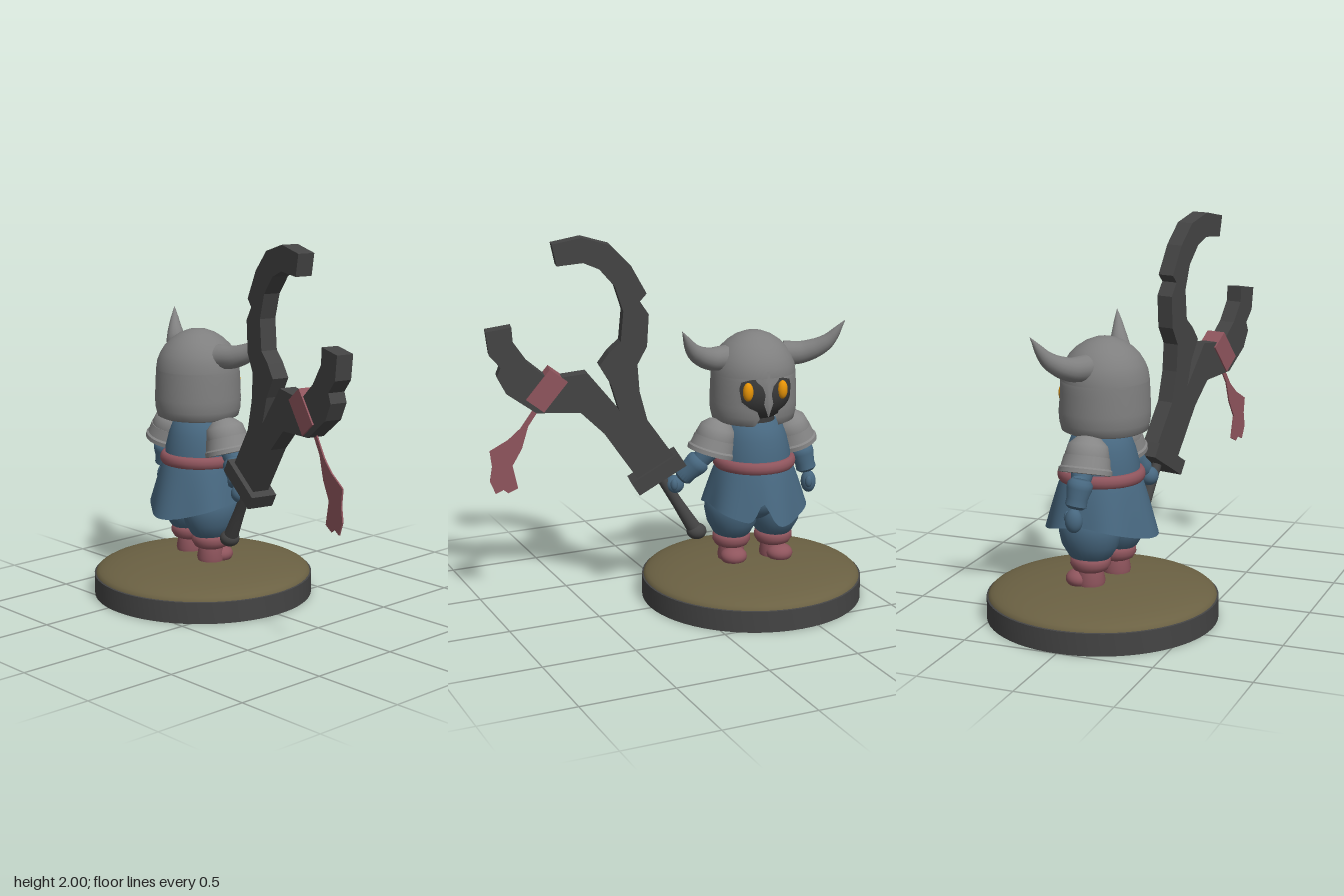
import * as THREE from 'three';
import { mergeVertices, toCreasedNormals } from 'three/addons/utils/BufferGeometryUtils.js';

const paint = (name, color) => {
  const m = new THREE.MeshStandardMaterial({ color, side: THREE.DoubleSide });
  m.name = name;
  return m;
};
const V = (p) => new THREE.Vector3(...p);

export function createModel() {
  const steel = paint('steel', 0x7f7f7f);
  const plate = paint('armour plate', 0x868686);
  const iron = paint('dark iron', 0x444444);
  const shade = paint('face shadow', 0x383838);
  const blue = paint('blue cloth', 0x47677f);
  const rose = paint('rose cloth', 0x8f555d);
  const olive = paint('olive ground', 0x6b6143);
  const amber = paint('amber', 0xf09a08);

  const add = (parent, name, geo, mat, pos = [0, 0, 0], scale = [1, 1, 1]) => {
    const m = new THREE.Mesh(geo, mat);
    m.name = name;
    m.position.set(...pos);
    m.scale.set(...scale);
    parent.add(m);
    return m;
  };
  const group = (parent, name) => {
    const g = new THREE.Group();
    g.name = name;
    parent.add(g);
    return g;
  };
  const lathe = (pts, seg = 32, crease = 0.9) =>
    toCreasedNormals(new THREE.LatheGeometry(pts.map((p) => new THREE.Vector2(...p)), seg), crease);
  const ball = new THREE.SphereGeometry(1, 24, 16);

  // Smooth grid surface from fn(column, row) -> [x, y, z]
  const surface = (nu, nv, fn) => {
    const pos = [], idx = [];
    for (let j = 0; j <= nv; j++) for (let i = 0; i <= nu; i++) pos.push(...fn(i / nu, j / nv, j));
    for (let j = 0; j < nv; j++) for (let i = 0; i < nu; i++) {
      const a = j * (nu + 1) + i, b = a + nu + 1;
      idx.push(a, a + 1, b, b, a + 1, b + 1);
    }
    let g = new THREE.BufferGeometry();
    g.setAttribute('position', new THREE.Float32BufferAttribute(pos, 3));
    g.setIndex(idx);
    g = mergeVertices(g, 1e-4);
    g.computeVertexNormals();
    return g;
  };

  // Round tube along a curve with a changing radius
  const taper = (pts, radii, n = 16) => {
    const curve = new THREE.CatmullRomCurve3(pts.map(V));
    const f = curve.computeFrenetFrames(n);
    return surface(16, n, (u, v, j) => {
      const k = Math.min(v * (radii.length - 1), radii.length - 1.0001), i = Math.floor(k);
      const r = THREE.MathUtils.lerp(radii[i], radii[i + 1], k - i), a = u * Math.PI * 2;
      return curve.getPointAt(v).addScaledVector(f.normals[j], r * Math.cos(a))
        .addScaledVector(f.binormals[j], r * Math.sin(a)).toArray();
    });
  };

  const root = new THREE.Group();
  root.name = 'hornedWarrior';

  // Display base: open ring with a domed ground
  const base = group(root, 'base');
  base.position.z = -0.4;
  add(base, 'baseRing', lathe([[0.58, 0.115], [0.58, 0], [0.6, 0], [0.6, 0.115], [0.58, 0.12]], 64), iron);
  const dome = [];
  for (let i = 0; i <= 14; i++) {
    const a = (i / 14) * Math.PI / 2;
    dome.push([0.592 * Math.cos(a), 0.115 + 0.095 * Math.sin(a)]);
  }
  add(base, 'ground', lathe(dome, 64, 1.2), olive);

  // Warrior, modelled facing +z and then turned to face +x
  const body = group(root, 'warrior');
  body.position.z = -0.41;
  body.rotation.y = Math.PI / 2;

  // Tunic, belt and skirt
  add(body, 'torso', lathe([[0.2, 0.74], [0.195, 0.82], [0.175, 0.9], [0.152, 0.96], [0.12, 0.99], [0, 0.99]], 32, 1.2), blue);
  add(body, 'belt', new THREE.TorusGeometry(0.2, 0.025, 12, 40).rotateX(Math.PI / 2), rose, [0, 0.762, 0], [1, 1.35, 1]);
  add(body, 'skirt', surface(80, 10, (u, v) => {
    const a = (u * 2 - 1) * Math.PI;
    const hem = 0.5 - 0.04 * Math.cos(2 * a) + 0.12 * Math.exp(-(((a + 0.25) / 0.16) ** 2));
    const y = THREE.MathUtils.lerp(0.76, hem, v);
    const r = 0.2 + 0.085 * Math.pow((0.76 - y) / 0.27, 0.85) + 0.01 * v * Math.cos(6 * a);
    return [r * Math.sin(a), y, r * Math.cos(a)];
  }), blue);

  // Puffed trousers and boots
  add(body, 'hips', ball, blue, [0, 0.57, -0.01], [0.22, 0.14, 0.19]);
  for (const s of [-1, 1]) {
    const leg = group(body, s < 0 ? 'rightLeg' : 'leftLeg');
    leg.position.set(s * 0.115, 0, s * 0.025 - 0.01);
    add(leg, 'trouserLeg', lathe([[0.07, 0.33], [0.1, 0.36], [0.132, 0.42], [0.146, 0.49], [0.14, 0.55], [0.09, 0.62]], 28, 1.2), blue, [0, 0, 0], [1, 1, 1.12]);
    add(leg, 'bootCuff', lathe([[0.06, 0.275], [0.088, 0.288], [0.104, 0.315], [0.102, 0.345], [0.085, 0.36], [0.05, 0.35]], 28, 1.2), rose);
    add(leg, 'bootShaft', lathe([[0, 0.19], [0.068, 0.19], [0.076, 0.225], [0.064, 0.29]], 24, 1.2), rose);
    add(leg, 'bootToe', ball, rose, [s * 0.012, 0.232, 0.055], [0.073, 0.05, 0.072]);
  }

  // Shoulder armour
  for (const s of [-1, 1]) {
    const p = group(body, s < 0 ? 'rightPauldron' : 'leftPauldron');
    p.position.set(s * 0.228, 0.895, -0.015);
    p.rotation.z = s * 0.3;
    p.scale.set(0.88, 0.9, 0.92);
    add(p, 'shoulderCap', lathe([[0.118, -0.025], [0.122, 0.02], [0.108, 0.075], [0.065, 0.115], [0, 0.13]], 28, 1.2), plate);
    add(p, 'shoulderBand', lathe([[0.118, 0.01], [0.126, 0.012], [0.137, -0.05], [0.147, -0.06], [0.147, -0.085], [0.13, -0.088]], 28, 0.5), plate);
  }

  // Arms: one reaching for the weapon, one hanging
  const arm = (name, shoulder, elbow, wrist, hand, handScale) => {
    const g = group(body, name);
    add(g, 'sleeve', taper([shoulder, elbow], [0.075, 0.06, 0.05], 6), blue);
    const e = V(elbow), w = V(wrist), d = w.clone().sub(e);
    const cuff = add(g, 'forearm', lathe([[0, 0], [0.048, 0], [0.064, 0.018], [0.064, 0.045],
      [0.053, d.length() * 0.65], [0.055, d.length() * 0.9], [0.038, d.length()], [0, d.length()]], 20, 0.9), blue, elbow);
    cuff.quaternion.setFromUnitVectors(new THREE.Vector3(0, 1, 0), d.normalize());
    add(g, 'hand', ball, blue, hand, handScale);
    add(g, 'thumb', ball, blue, [hand[0] - 0.02, hand[1] + 0.01, hand[2] + 0.04], [0.02, 0.032, 0.02]);
  };
  arm('rightArm', [-0.21, 0.9, 0], [-0.3, 0.79, -0.03], [-0.395, 0.68, -0.085], [-0.425, 0.645, -0.1], [0.052, 0.05, 0.05]);
  arm('leftArm', [0.21, 0.9, 0], [0.29, 0.8, -0.01], [0.322, 0.66, 0.01], [0.33, 0.598, 0.015], [0.04, 0.062, 0.045]);

  // Head with helmet, turned slightly
  add(body, 'neck', new THREE.CylinderGeometry(0.1, 0.12, 0.12, 20), shade, [0, 0.99, 0]);
  const head = group(body, 'head');
  head.position.z = -0.02;
  head.rotation.y = -0.1;
  add(head, 'face', ball, shade, [0, 1.16, 0], [0.205, 0.185, 0.205]);

  // Helmet rows: height, radius, half width of the front opening
  const rows = [[0.99, 0.2, 0.07], [1.0, 0.22, 0.065], [1.04, 0.23, 0.045], [1.08, 0.233, 0.06], [1.1, 0.233, 0.1], [1.13, 0.232, 0.135],
    [1.2, 0.229, 0.145], [1.235, 0.227, 0.135], [1.25, 0.226, 0.09], [1.255, 0.226, 0], [1.3, 0.219, 0], [1.34, 0.203, 0],
    [1.38, 0.178, 0], [1.415, 0.143, 0], [1.445, 0.099, 0], [1.464, 0.05, 0], [1.47, 0, 0]];
  add(head, 'helmet', surface(48, rows.length - 1, (u, v, j) => {
    const [y, r, w] = rows[j];
    const e = r > 0 ? Math.asin(w / r) : 0;
    const a = e + u * 2 * (Math.PI - e);
    return [r * Math.sin(a), y, r * Math.cos(a)];
  }), steel);

  // Nose guard: height, half width, forward position
  const nose = [[1.29, 0.08, 0.222], [1.24, 0.062, 0.23], [1.21, 0.03, 0.235], [1.17, 0.017, 0.24], [1.12, 0.026, 0.244], [1.05, 0.002, 0.238]];
  add(head, 'noseGuard', surface(4, nose.length - 1, (u, v, j) => {
    const [y, w, z] = nose[j], t = u * 2 - 1;
    return [t * w, y, z - Math.abs(t) * (0.006 + w * 0.2)];
  }), steel);

  for (const s of [-1, 1]) {
    add(head, 'eye', ball, amber, [s * 0.097, 1.18, 0.183], [0.028, 0.05, 0.026]).rotation.y = s * 0.45;
    add(head, 'horn', taper([[s * 0.17, 1.335, 0.02], [s * 0.27, 1.345, 0.055], [s * 0.37, 1.4, 0.11], [s * 0.455, 1.525, 0.165]],
      [0.068, 0.062, 0.054, 0.042, 0.024, 0.001], 20), steel);
  }

  // Forked great blade, drawn in its own plane and turned outward
  const weapon = group(root, 'weapon');
  weapon.position.x = -0.095;
  weapon.rotation.y = -1.802;
  weapon.scale.x = 1.027;
  const flat = (pts, depth) => new THREE.ExtrudeGeometry(
    new THREE.Shape(pts.map((p) => new THREE.Vector2(...p))), { depth, bevelEnabled: false }).translate(0, 0, -depth / 2);
  add(weapon, 'blade', flat([
    [0.64, 1.97], [0.49, 2], [0.345, 1.957], [0.245, 1.85], [0.165, 1.7], [0.2, 1.66], [0.155, 1.59], [0.165, 1.42],
    [0.215, 1.325], [0.205, 1.18], [0.165, 1.02], [0.03, 0.82], [0.21, 0.69], [0.39, 0.96], [0.51, 1.08], [0.735, 1.09],
    [0.885, 1.2], [0.93, 1.29], [0.91, 1.34], [0.965, 1.405], [0.98, 1.53], [0.85, 1.55], [0.845, 1.465], [0.775, 1.36],
    [0.695, 1.29], [0.6, 1.275], [0.475, 1.29], [0.31, 1.08], [0.35, 1.22], [0.41, 1.325], [0.36, 1.395], [0.3, 1.45],
    [0.285, 1.61], [0.325, 1.74], [0.405, 1.835], [0.485, 1.87], [0.617, 1.857]], 0.09), iron);
  add(weapon, 'guard', new THREE.BoxGeometry(0.29, 0.08, 0.145), iron, [0.11, 0.725, 0]).rotation.z = -0.55;
  add(weapon, 'grip', taper([[0.09, 0.69, 0], [-0.1, 0.37, 0]], [0.026, 0.03, 0.04], 8), iron);
  add(weapon, 'pommel', ball, iron, [-0.102, 0.372, 0], [0.053, 0.045, 0.053]);

  // Cloth wrapped round the lower prong, with a torn tail
  add(weapon, 'clothWrap', new THREE.BoxGeometry(0.115, 0.2, 0.108), rose, [0.68, 1.208, 0]).rotation.z = 0.67;
  add(weapon, 'clothTail', flat([
    [0.72, 1.14], [0.815, 1], [0.88, 0.94], [0.975, 0.885], [0.965, 0.8], [0.978, 0.72], [0.95, 0.65], [0.91, 0.67],
    [0.885, 0.65], [0.835, 0.675], [0.86, 0.8], [0.81, 0.89], [0.775, 1.01], [0.69, 1.14]], 0.008), rose);

  return root;
}
